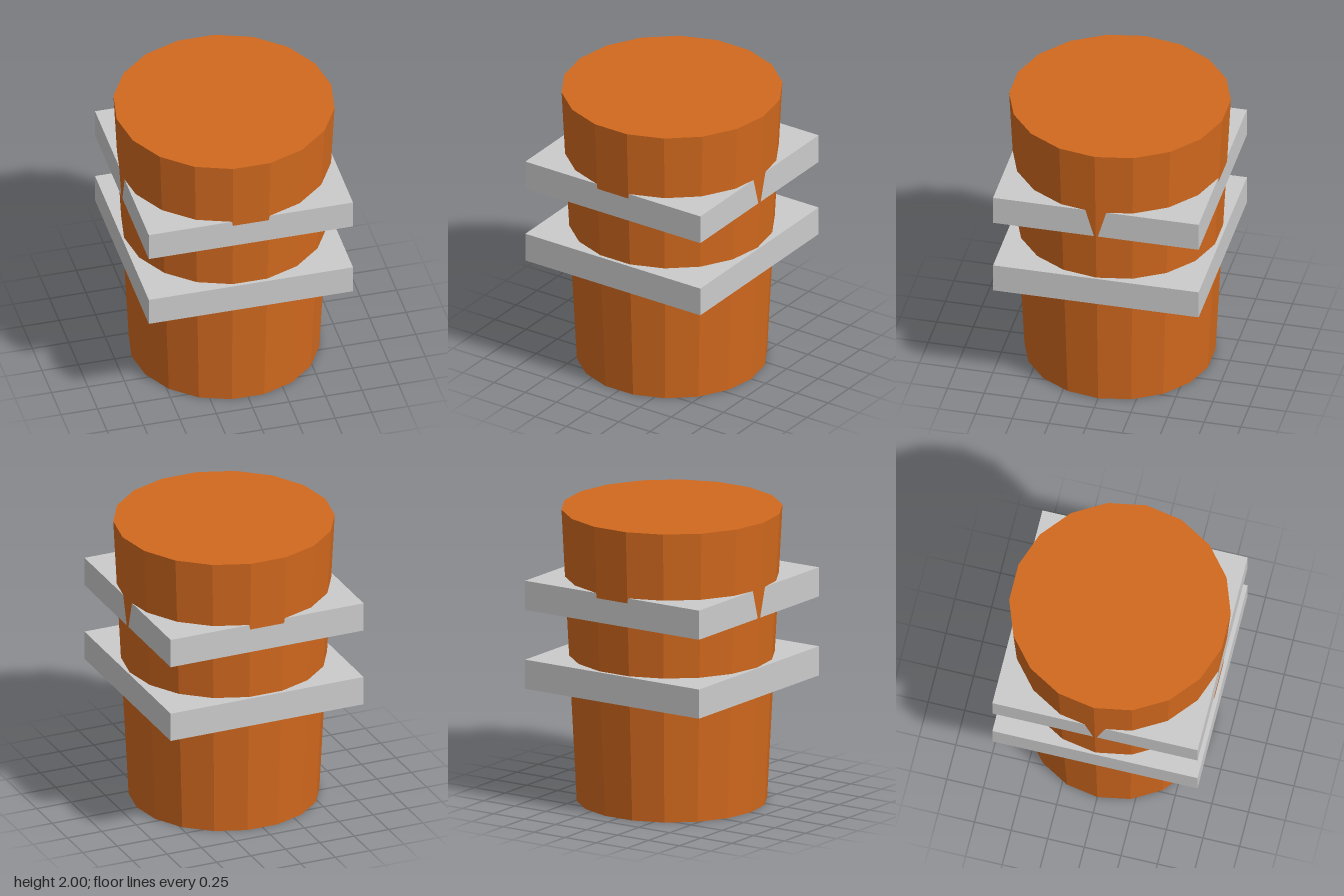
import * as THREE from 'three';

export function createModel() {
  const model = new THREE.Group();
  const wood = new THREE.MeshStandardMaterial({ color: 0xd2691e, flatShading: true });
  const metal = new THREE.MeshStandardMaterial({ color: 0xcccccc, flatShading: true });

  // Tapered 18-sided body, with a corner on the x axis and a flat facing z
  const body = new THREE.Mesh(new THREE.CylinderGeometry(0.737, 0.635, 2, 18), wood);
  body.name = 'body';
  body.rotation.y = Math.PI / 2;
  body.position.y = 1;
  model.add(body);

  // Two square bands around the body
  for (const [name, y] of [['lowerBand', 0.9], ['upperBand', 1.441]]) {
    const band = new THREE.Mesh(new THREE.BoxGeometry(1.402, 0.2, 1.402), metal);
    band.name = name;
    band.position.y = y;
    model.add(band);
  }
  return model;
}
